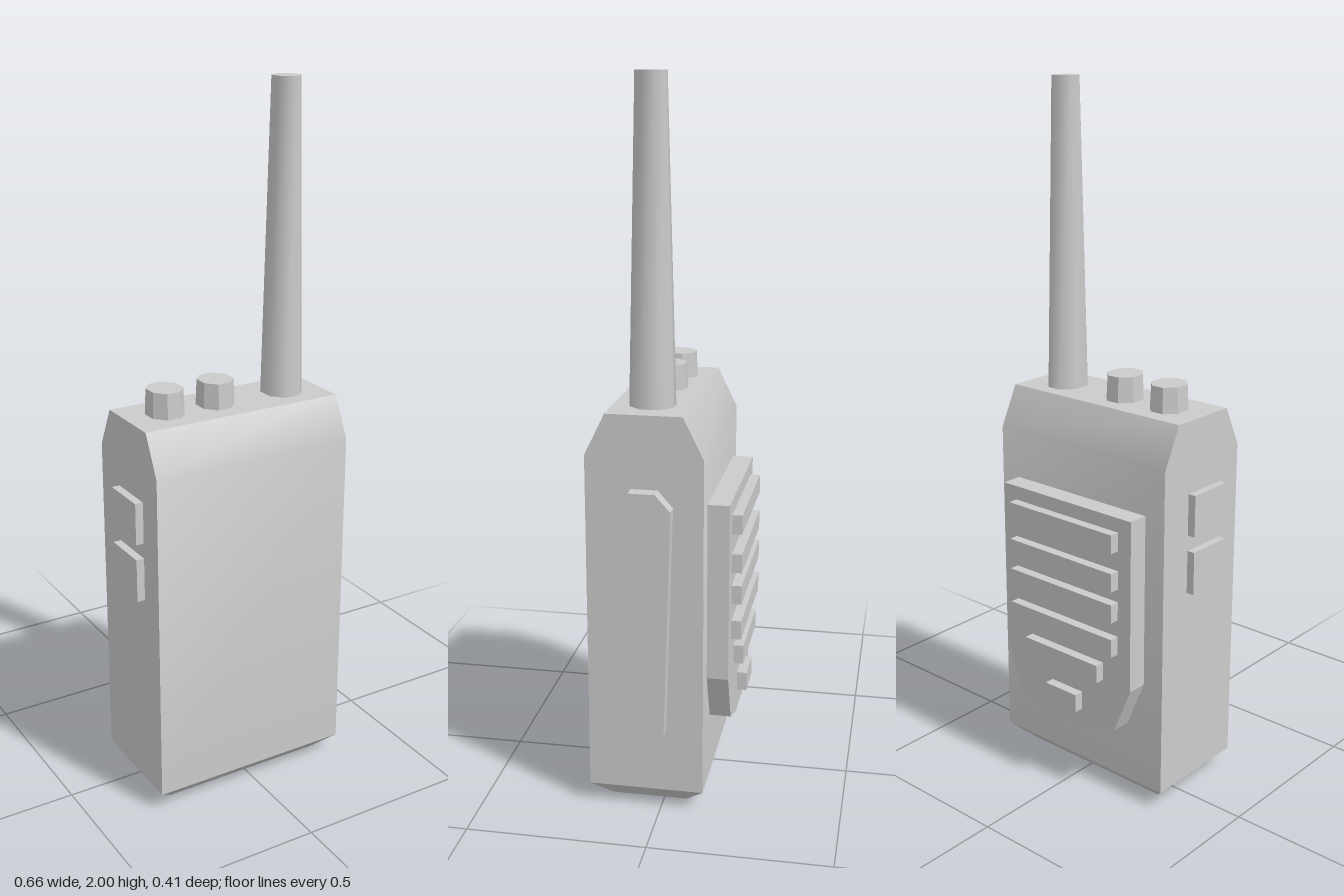
import * as THREE from 'three';
import { toCreasedNormals } from 'three/addons/utils/BufferGeometryUtils.js';

const material = new THREE.MeshStandardMaterial({ color: 0xcccccc });

export function createModel() {
  const group = new THREE.Group();

  const add = (name, geometry, x = 0, y = 0, z = 0) => {
    const mesh = new THREE.Mesh(geometry, material);
    mesh.name = name;
    mesh.position.set(x, y, z);
    group.add(mesh);
    return mesh;
  };

  // Box given by its minimum and maximum on each axis
  const addBox = (name, [x0, x1], [y0, y1], [z0, z1]) =>
    add(name, new THREE.BoxGeometry(x1 - x0, y1 - y0, z1 - z0),
      (x0 + x1) / 2, (y0 + y1) / 2, (z0 + z1) / 2);

  // Flat plate extruded from an outline
  const plate = (points, depth) => new THREE.ExtrudeGeometry(
    new THREE.Shape(points.map(([x, y]) => new THREE.Vector2(x, y))),
    { depth, bevelEnabled: false });

  // Octagonal post with flats facing the axes, a little deeper than wide
  const post = (halfTop, halfBottom, height) => {
    const k = 1 / Math.cos(Math.PI / 8);
    return new THREE.CylinderGeometry(halfTop * k, halfBottom * k, height, 8)
      .rotateY(Math.PI / 8).scale(1, 1, 1.12);
  };

  // Body: box levels reshaped to a bevelled foot and sloping shoulders
  const levels = [ // y, x min, x max, z min, z max
    [0, -0.255, 0.237, -0.063, 0.147],
    [0.055, -0.31, 0.292, -0.118, 0.203],
    [1.02, -0.31, 0.292, -0.118, 0.203],
    [1.135, -0.31, 0.292, -0.062, 0.147],
  ];
  const body = new THREE.BoxGeometry(2, 3, 2, 1, 3, 1);
  const p = body.attributes.position;
  for (let i = 0; i < p.count; i++) {
    const [y, x0, x1, z0, z1] = levels[Math.round(p.getY(i) + 1.5)];
    p.setXYZ(i, p.getX(i) < 0 ? x0 : x1, y, p.getZ(i) < 0 ? z0 : z1);
  }
  add('body', toCreasedNormals(body, 0.6));

  // Antenna and control knobs on the top
  add('antenna', toCreasedNormals(post(0.0355, 0.0535, 0.87), 0.9), 0.178, 1.565, 0.04);
  for (const x of [-0.195, -0.038]) {
    add('knob', toCreasedNormals(post(0.046, 0.049, 0.075), 0.3), x, 1.17, 0.04);
  }

  // Tapered grip on the left side, outline in (-z, y)
  const grip = plate([
    [-0.105, 0.24], [0.016, 0.24], [0.036, 0.886],
    [-0.005, 0.933], [-0.078, 0.933], [-0.126, 0.886],
  ], 0.04);
  add('sideGrip', grip.rotateY(Math.PI / 2), 0.292);

  // Push buttons on the right side
  for (const y of [[0.64, 0.765], [0.81, 0.93]]) {
    addBox('sideButton', [-0.333, -0.31], y, [-0.015, 0.123]);
  }

  // Speaker panel on the back with a rounded-off lower end
  const half = [[0.07, 0.197], [0.18, 0.235], [0.237, 0.375], [0.237, 0.88]];
  const mirrored = half.map(([x, y]) => [-x, y]).reverse();
  add('speakerPanel', plate([...half, ...mirrored], 0.06), -0.008, 0, -0.178);

  // Speaker slats, shorter towards the bottom
  const slats = [ // centre y, half width
    [0.812, 0.191], [0.7, 0.191], [0.608, 0.191],
    [0.504, 0.191], [0.407, 0.137], [0.287, 0.058],
  ];
  for (const [y, w] of slats) {
    addBox('speakerSlat', [-0.009 - w, -0.009 + w], [y - 0.027, y + 0.027], [-0.206, -0.178]);
  }

  return group;
}
